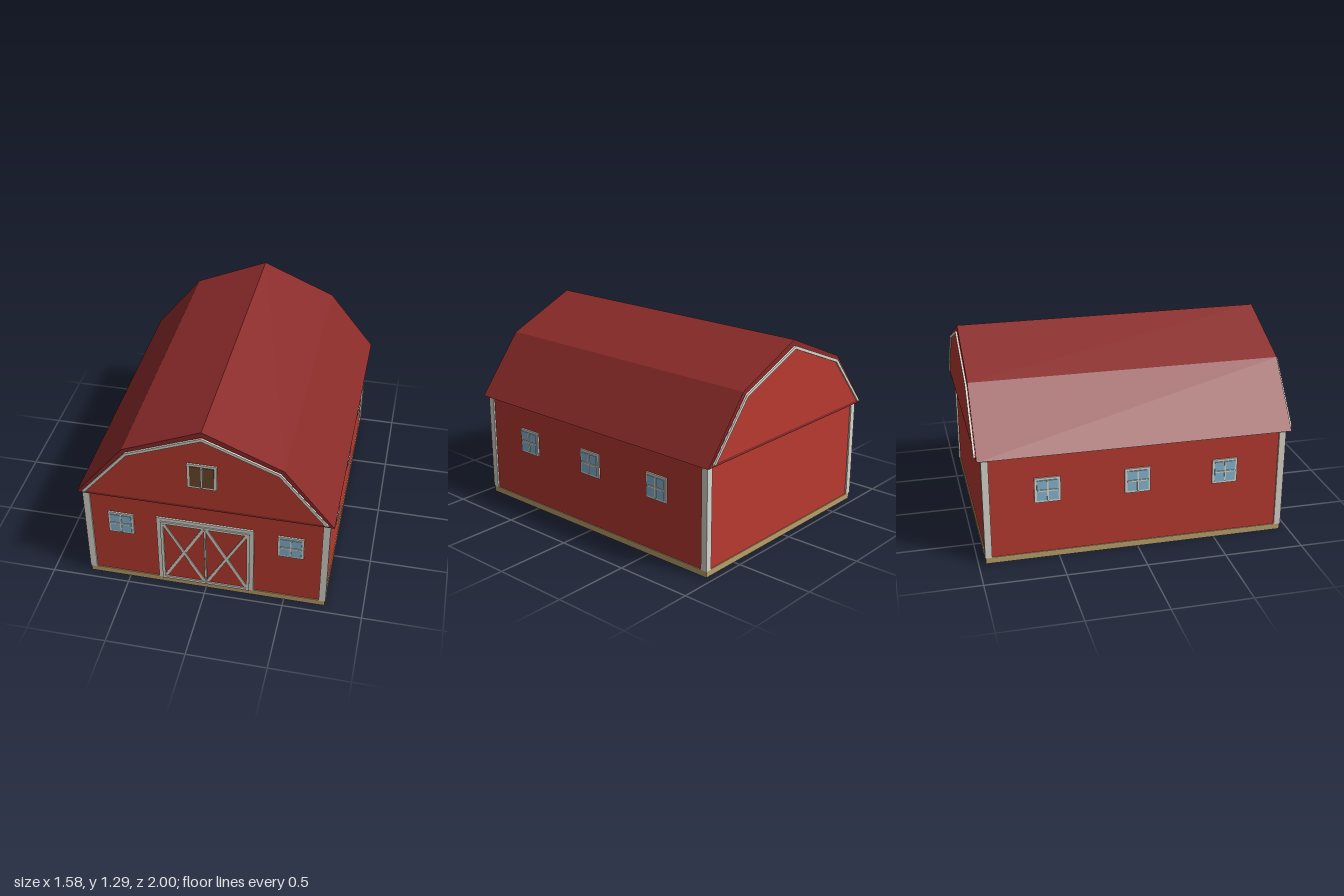
import * as THREE from 'three';

const mat = (color) => new THREE.MeshStandardMaterial({ color, flatShading: true });

export function createModel() {
  const red = mat(0xb83a30), roofRed = mat(0x8a2b29), white = mat(0xd8d6cc);
  const tan = mat(0xb9a06c), blue = mat(0x86b6d2), brown = mat(0x6e4a2c);

  const barn = new THREE.Group();
  barn.name = 'barn';
  barn.position.z = -0.005;

  function box(parent, name, material, w, h, d, x, y, z) {
    const m = new THREE.Mesh(new THREE.BoxGeometry(w, h, d), material);
    m.name = name;
    m.position.set(x, y, z);
    parent.add(m);
    return m;
  }

  // Flat bar between two points in the xy plane
  function bar(parent, name, material, a, b, width, depth, z) {
    const dx = b[0] - a[0], dy = b[1] - a[1];
    const m = box(parent, name, material, Math.hypot(dx, dy), width, depth,
      (a[0] + b[0]) / 2, (a[1] + b[1]) / 2, z);
    m.rotation.z = Math.atan2(dy, dx);
    return m;
  }

  function prism(parent, name, material, points, halfDepth) {
    const shape = new THREE.Shape(points.map(([x, y]) => new THREE.Vector2(x, y)));
    const geo = new THREE.ExtrudeGeometry(shape, { depth: 2 * halfDepth, bevelEnabled: false });
    geo.translate(0, 0, -halfDepth);
    const m = new THREE.Mesh(geo, material);
    m.name = name;
    parent.add(m);
  }

  // Symmetric gambrel outline from eave, knee and ridge
  const gambrel = (eave, knee, ridge) => [
    [-eave[0], eave[1]], eave, knee, [0, ridge], [-knee[0], knee[1]],
  ];

  // Foundation, walls and corner posts
  box(barn, 'foundation', tan, 1.52, 0.04, 1.9, 0, 0.02, 0);
  box(barn, 'walls', red, 1.51, 0.66, 1.888, 0, 0.37, 0);
  box(barn, 'eaveTrim', white, 1.518, 0.01, 1.896, 0, 0.694, 0);
  for (const sx of [-1, 1]) for (const sz of [-1, 1]) {
    box(barn, 'cornerPost', white, 0.043, 0.66, 0.043, sx * 0.7435, 0.37, sz * 0.9325);
  }

  // Roof block with gable panels set just proud of its ends
  prism(barn, 'roof', roofRed, gambrel([0.79, 0.698], [0.483, 1.08], 1.286), 0.979);
  prism(barn, 'gablePanels', red, gambrel([0.757, 0.718], [0.465, 1.062], 1.25), 0.983);

  // Gable trim follows the panel edges
  const trimShape = new THREE.Shape();
  [[0.757, 0.715], [0.465, 1.062], [0, 1.25], [-0.465, 1.062], [-0.757, 0.715],
    [-0.735, 0.715], [-0.455, 1.046], [0, 1.23], [0.455, 1.046], [0.735, 0.715]]
    .forEach(([x, y], i) => (i ? trimShape.lineTo(x, y) : trimShape.moveTo(x, y)));
  for (const s of [-1, 1]) {
    const geo = new THREE.ExtrudeGeometry(trimShape, { depth: 0.016, bevelEnabled: false });
    const trim = new THREE.Mesh(geo, white);
    trim.name = 'gableTrim';
    trim.position.z = s * 0.985 - 0.008;
    barn.add(trim);
  }

  // Window built facing +z with its back on z = 0
  function glazedWindow(x, y, z, turn) {
    const g = new THREE.Group();
    g.name = 'window';
    box(g, 'windowFrame', white, 0.162, 0.162, 0.012, 0, 0, 0.004);
    box(g, 'windowGlass', blue, 0.132, 0.132, 0.014, 0, 0, 0.008);
    box(g, 'windowMullion', white, 0.01, 0.132, 0.012, 0, 0, 0.014);
    box(g, 'windowTransom', white, 0.132, 0.01, 0.012, 0, 0, 0.014);
    g.position.set(x, y, z);
    g.rotation.y = turn;
    barn.add(g);
  }
  for (const s of [-1, 1]) {
    glazedWindow(s * 0.533, 0.461, 0.944, 0);
    for (const z of [-0.56, 0, 0.56]) glazedWindow(s * 0.755, 0.461, z, s * Math.PI / 2);
  }

  // Double barn door with cross braces
  const door = new THREE.Group();
  door.name = 'barnDoor';
  barn.add(door);
  box(door, 'doorHeader', white, 0.61, 0.027, 0.014, 0, 0.5415, 0.948);
  for (const s of [-1, 1]) {
    box(door, 'doorJamb', white, 0.025, 0.488, 0.014, s * 0.2925, 0.284, 0.948);
    box(door, 'doorLeaf', red, 0.278, 0.488, 0.012, s * 0.14, 0.284, 0.948);
    box(door, 'outerStile', white, 0.018, 0.488, 0.02, s * 0.271, 0.284, 0.952);
    box(door, 'innerStile', white, 0.006, 0.488, 0.02, s * 0.004, 0.284, 0.952);
    for (const y of [0.051, 0.521]) {
      box(door, 'doorRail', white, 0.255, 0.018, 0.02, s * 0.1345, y, 0.952);
    }
    bar(door, 'brace', white, [s * 0.01, 0.065], [s * 0.26, 0.508], 0.018, 0.018, 0.951);
    bar(door, 'brace', white, [s * 0.01, 0.508], [s * 0.26, 0.065], 0.018, 0.017, 0.951);
  }

  // Loft hatch in the front gable
  const loft = new THREE.Group();
  loft.name = 'loftHatch';
  barn.add(loft);
  box(loft, 'hatchFrame', white, 0.18, 0.18, 0.014, 0, 0.964, 0.986);
  for (const s of [-1, 1]) box(loft, 'hatchDoor', brown, 0.073, 0.148, 0.014, s * 0.0365, 0.964, 0.991);
  box(loft, 'hatchMullion', white, 0.012, 0.148, 0.014, 0, 0.964, 0.998);

  const model = new THREE.Group();
  model.name = 'barnModel';
  model.add(barn);
  return model;
}
